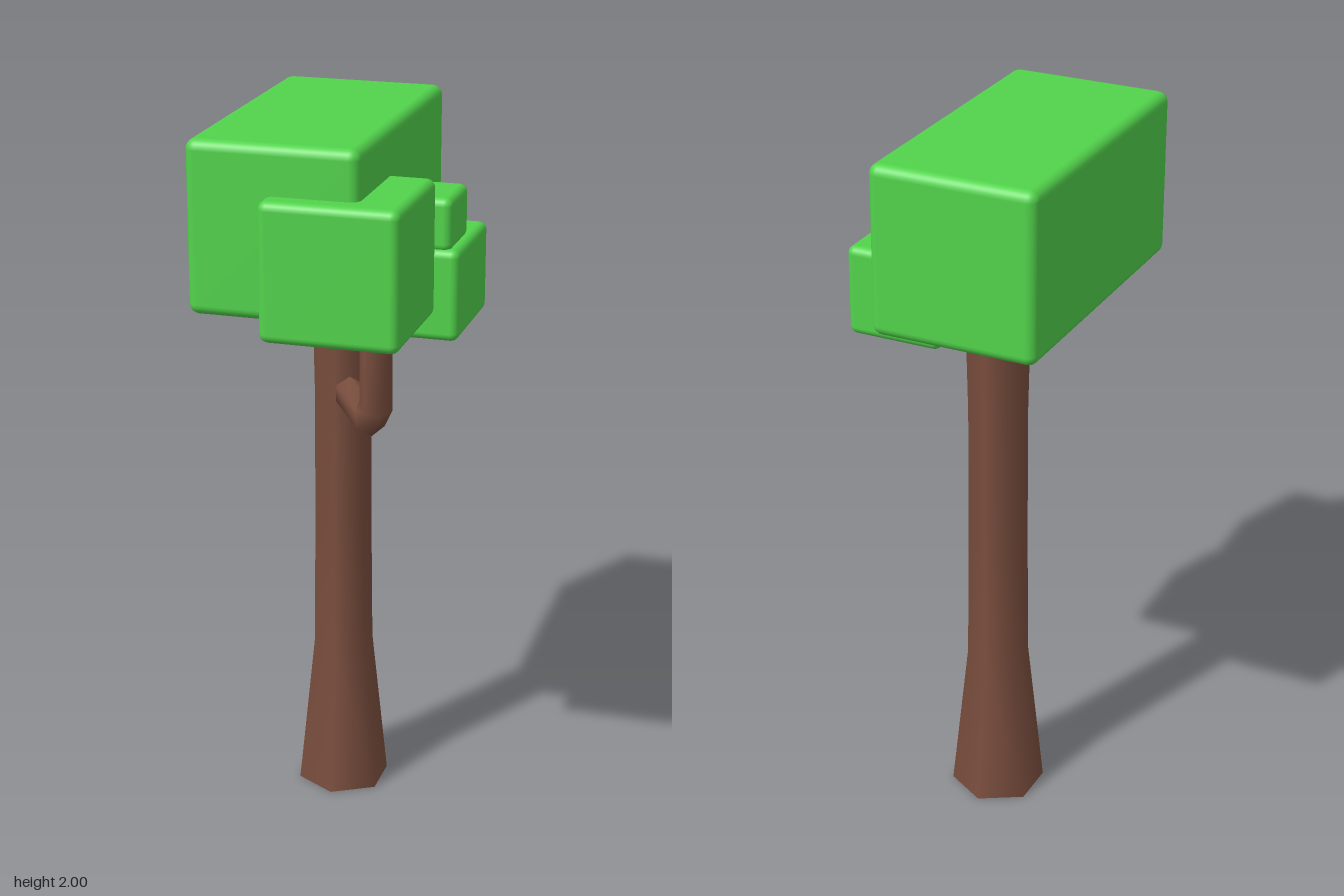
import * as THREE from 'three';
import { RoundedBoxGeometry } from 'three/addons/geometries/RoundedBoxGeometry.js';

const bark = new THREE.MeshStandardMaterial({ color: 0x7a4e3e, side: THREE.DoubleSide });
const leaf = new THREE.MeshStandardMaterial({ color: 0x52d44c });

function addMesh(parent, name, geometry, material) {
  const mesh = new THREE.Mesh(geometry, material);
  mesh.name = name;
  parent.add(mesh);
  return mesh;
}

// Bent hexagonal limb: each ring is [distance out, height, tilt, stretch in the bend plane]
function bentLimb(rings, radius) {
  const geo = new THREE.CylinderGeometry(1, 1, rings.length - 1, 6, rings.length - 1, true, Math.PI / 2);
  const pos = geo.attributes.position;
  for (let i = 0; i < pos.count; i++) {
    const [u, v, a, stretch] = rings[Math.round(pos.getY(i) + (rings.length - 1) / 2)];
    const r = pos.getX(i) * radius * stretch;
    pos.setXYZ(i, u + r * Math.sin(a), v - r * Math.cos(a), pos.getZ(i) * radius);
  }
  geo.computeVertexNormals();
  // Weld the normals along the seam
  const n = geo.attributes.normal;
  for (let row = 0; row < rings.length; row++) {
    const a = row * 7, b = a + 6;
    const sum = new THREE.Vector3().fromBufferAttribute(n, a)
      .add(new THREE.Vector3().fromBufferAttribute(n, b)).normalize();
    n.setXYZ(a, sum.x, sum.y, sum.z);
    n.setXYZ(b, sum.x, sum.y, sum.z);
  }
  return geo;
}

export function createModel() {
  const tree = new THREE.Group();
  tree.name = 'tree';

  // Six-sided trunk with a flared foot, and the branch growing from its axis
  const wood = new THREE.Group();
  wood.name = 'wood';
  wood.position.set(-0.044, 0, -0.087);
  tree.add(wood);

  const profile = [[0.132, 0], [0.086, 0.44], [0.082, 0.8], [0.081, 1.2], [0.087, 1.5], [0.087, 1.62]]
    .map(([r, y]) => new THREE.Vector2(r, y));
  addMesh(wood, 'trunk', new THREE.LatheGeometry(profile, 6), bark);

  const bend = Math.PI / 8;
  const branch = addMesh(wood, 'branch', bentLimb([
    [0.03, 1.22, 0, 1],
    [0.285, 1.22, bend, 1.08],
    [0.344, 1.275, 3 * bend, 1.08],
    [0.344, 1.58, 4 * bend, 1],
  ], 0.045), bark);
  branch.rotation.y = Math.atan2(-0.294, 0.178);

  // Rounded blocks of leaves, given by their low and high corners
  const blocks = [
    ['mainFoliage', [-0.32, 1.54, -0.45], [0.14, 2, 0.39], 0.028],
    ['frontFoliage', [-0.11, 1.5, 0.08], [0.26, 1.87, 0.45], 0.024],
    ['sideFoliage', [0.05, 1.425, -0.25], [0.32, 1.675, 0.08], 0.022],
    ['smallFoliage', [0.09, 1.665, -0.12], [0.296, 1.81, 0.07], 0.022],
  ];
  for (const [name, lo, hi, radius] of blocks) {
    const size = hi.map((h, i) => h - lo[i]);
    const block = addMesh(tree, name, new RoundedBoxGeometry(...size, 3, radius), leaf);
    block.position.set(...hi.map((h, i) => (h + lo[i]) / 2));
  }
  return tree;
}
